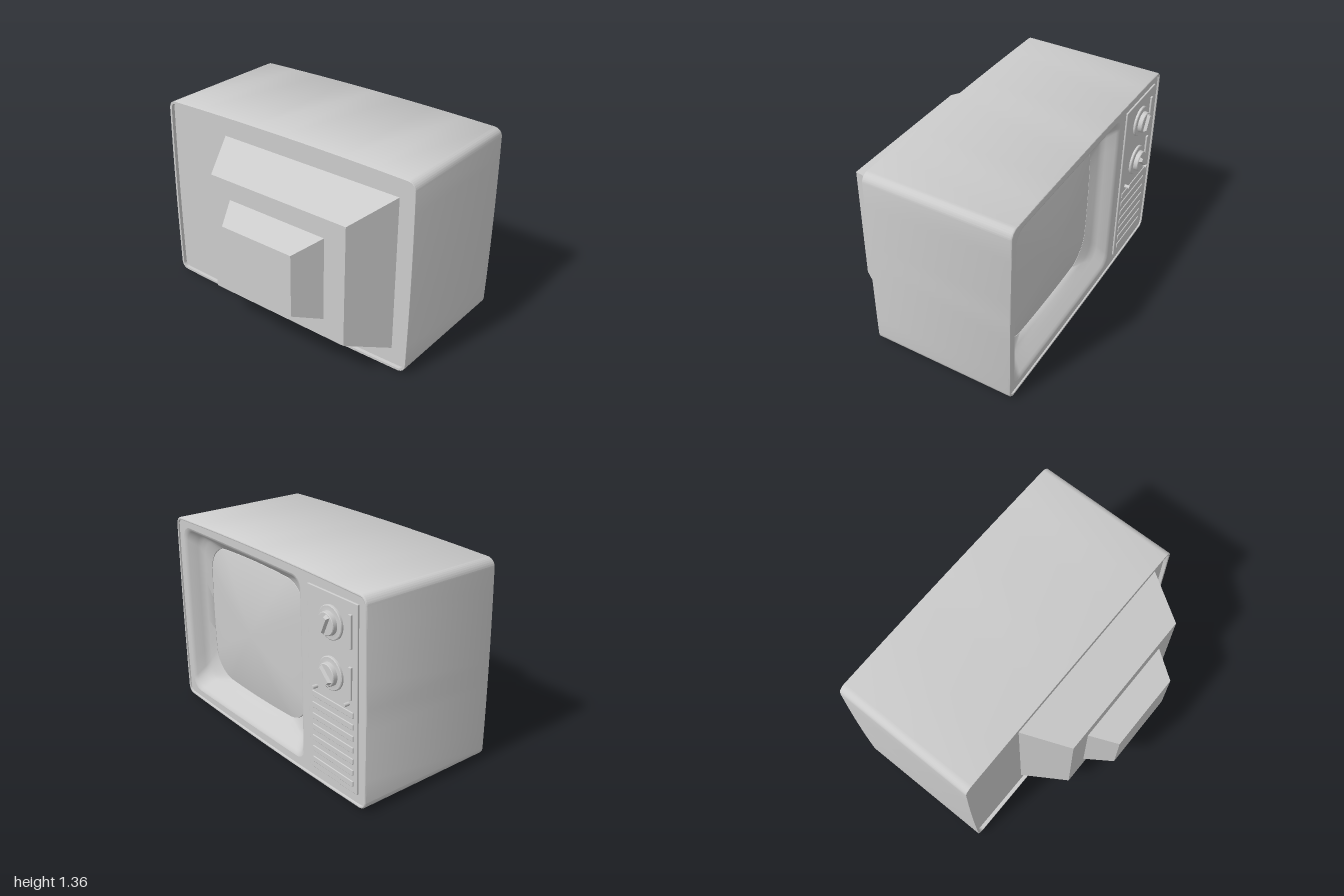
import * as THREE from 'three';
import { toCreasedNormals } from 'three/addons/utils/BufferGeometryUtils.js';
import { RoundedBoxGeometry } from 'three/addons/geometries/RoundedBoxGeometry.js';

const material = new THREE.MeshStandardMaterial({ color: 0xcccccc, roughness: 0.7 });

// Rounded rectangle loop whose edges bow outwards, counter-clockwise, at depth z
function ring(cx, cy, hw, hh, r, bowX, bowY, z) {
  const pts = [], arc = 7, edge = 8;
  const corners = [[1, -1], [1, 1], [-1, 1], [-1, -1]];
  corners.forEach(([sx, sy], k) => {
    const start = -Math.PI / 2 + k * Math.PI / 2;
    for (let i = 0; i <= arc; i++) {
      const a = start + (i / arc) * Math.PI / 2;
      pts.push([sx * (hw - r) + r * Math.cos(a), sy * (hh - r) + r * Math.sin(a)]);
    }
    const [nx, ny] = corners[(k + 1) % 4];
    const p = pts[pts.length - 1];
    const end = start + Math.PI / 2;
    const q = [nx * (hw - r) + r * Math.cos(end), ny * (hh - r) + r * Math.sin(end)];
    for (let i = 1; i < edge; i++) {
      const t = i / edge;
      pts.push([p[0] + (q[0] - p[0]) * t, p[1] + (q[1] - p[1]) * t]);
    }
  });
  return pts.map(([x, y]) => new THREE.Vector3(
    cx + x * (1 - bowX * (y / hh) ** 2), cy + y * (1 - bowY * (x / hw) ** 2), z));
}

const rect = (x0, x1, y0, y1, z) =>
  [[x0, y0], [x1, y0], [x1, y1], [x0, y1]].map(([x, y]) => new THREE.Vector3(x, y, z));

// Shrinks a loop towards its middle, optionally at a new depth
function shrink(loop, s, z = loop[0].z) {
  const c = new THREE.Box3().setFromPoints(loop).getCenter(new THREE.Vector3());
  return loop.map((p) => new THREE.Vector3(c.x + (p.x - c.x) * s, c.y + (p.y - c.y) * s, z));
}

// Skins a list of loops that have equal point counts
function loft(loops, crease = 0.6) {
  const n = loops[0].length, pos = [], idx = [];
  loops.forEach((l) => l.forEach((p) => pos.push(p.x, p.y, p.z)));
  for (let k = 0; k < loops.length - 1; k++) {
    for (let i = 0; i < n; i++) {
      const a = k * n + i, b = k * n + (i + 1) % n;
      idx.push(a, b, b + n, a, b + n, a + n);
    }
  }
  const g = new THREE.BufferGeometry();
  g.setAttribute('position', new THREE.Float32BufferAttribute(pos, 3));
  g.setIndex(idx);
  return toCreasedNormals(g, crease);
}

export function createModel() {
  const model = new THREE.Group();
  model.name = 'television';
  // Parts are laid out with the screen towards +z, then turned to face +x
  const set = new THREE.Group();
  set.name = 'set';
  set.rotation.y = Math.PI / 2;
  model.add(set);

  const add = (name, geometry, x = 0, y = 0, z = 0, parent = set) => {
    const mesh = new THREE.Mesh(geometry, material);
    mesh.name = name;
    mesh.position.set(x, y, z);
    parent.add(mesh);
    return mesh;
  };

  // Cabinet shell with recessed back panel and a thin raised front rim
  const shell = (inset, z) =>
    ring(0, 0.68, 1 - inset, 0.68 - inset, 0.055 - inset, 0.008, 0.022, z);
  add('cabinet', loft([
    shrink(shell(0.018, -0.275), 0.001), shell(0.018, -0.275), shell(0.018, -0.3),
    shell(0.002, -0.3), shell(0, -0.297), shell(0, 0.682), shell(0.004, 0.688),
    shell(0.009, 0.69), shell(0.016, 0.688), shell(0.018, 0.678),
  ]));

  // Front face with the opening for the screen
  const opening = (inset, z) =>
    ring(-0.265, 0.68, 0.665 - inset, 0.61 - inset, 0.08, 0.005, 0.005, z);
  const to2D = (loop) => loop.map((p) => new THREE.Vector2(p.x, p.y));
  const face = new THREE.Shape(to2D(shell(0.018, 0)));
  face.holes.push(new THREE.Path(to2D(opening(0, 0))));
  add('frontFace', new THREE.ShapeGeometry(face), 0, 0, 0.678);

  // Recess stepping back to the picture tube
  const tube = (inset, z) =>
    ring(-0.27, 0.688, 0.54 - inset, 0.493 - inset, 0.17, 0.04, 0.04, z);
  add('screenSurround', loft([
    opening(0, 0.678), opening(0.012, 0.674), opening(0.024, 0.662),
    ring(-0.265, 0.69, 0.61, 0.545, 0.09, 0.005, 0.005, 0.61),
    ring(-0.265, 0.692, 0.597, 0.528, 0.1, 0.008, 0.008, 0.588),
    ring(-0.266, 0.691, 0.58, 0.517, 0.12, 0.02, 0.02, 0.575),
    tube(0, 0.547), tube(0.002, 0.53),
  ], 0.8));

  // Bulging glass
  const glass = [tube(0, 0.535)];
  for (let i = 0; i <= 10; i++) {
    const s = Math.max(0.001, Math.cos((i / 10) * Math.PI / 2));
    glass.push(shrink(tube(0.004, 0), s, 0.547 + 0.055 * (1 - s * s)));
  }
  add('screen', loft(glass, 0.8));

  // Two stepped housings at the back
  const housing = (name, back, base) => add(name, loft([shrink(back, 0.001), back, base], 0.3));
  housing('rearHousing', rect(-0.72, 0.34, 0.265, 1.095, -0.58), rect(-0.875, 0.495, 0.147, 1.213, -0.28));
  housing('tubeCap', rect(-0.46, 0.085, 0.465, 0.89, -0.76), rect(-0.565, 0.185, 0.395, 0.965, -0.58));

  // Control panel
  const panel = new THREE.Group();
  panel.name = 'controlPanel';
  set.add(panel);
  add('panelPlate', new RoundedBoxGeometry(0.445, 1.19, 0.024, 2, 0.004), 0.697, 0.685, 0.677, panel);

  // Knobs: stepped dial with a tapered grip bar
  const profile = [[0, 0], [0.104, 0], [0.104, 0.012], [0.099, 0.016], [0.084, 0.016],
    [0.072, 0.018], [0.07, 0.043], [0.066, 0.047], [0, 0.047]];
  const dial = toCreasedNormals(new THREE.LatheGeometry(
    profile.map(([r, h]) => new THREE.Vector2(r, h)), 36).rotateX(Math.PI / 2), 0.5);
  const gripBack = rect(-0.062, 0.062, -0.018, 0.018, 0.045);
  const gripFront = rect(-0.05, 0.05, -0.011, 0.011, 0.067);
  const grip = loft([gripBack, gripFront, shrink(gripFront, 0.001)], 0.3);
  [[1.11, 1.13], [0.797, -0.75]].forEach(([y, angle], i) => {
    const knob = new THREE.Group();
    knob.name = i ? 'lowerKnob' : 'upperKnob';
    knob.position.set(0.695, y, 0.689);
    knob.rotation.z = angle;
    panel.add(knob);
    add('dial', dial, 0, 0, 0, knob);
    add('grip', grip, 0, 0, 0, knob);
    // Indicator strip beside each knob
    add('indicatorStrip', new RoundedBoxGeometry(0.024, 0.205, 0.022, 2, 0.004), 0.863, y - 0.003, 0.69, panel);
  });

  // Small push pins
  const pin = new THREE.CylinderGeometry(0.012, 0.012, 0.04, 16).rotateX(Math.PI / 2);
  for (const x of [0.553, 0.842]) add('pin', pin, x, 0.66, 0.705, panel);

  // Speaker grille
  const slat = new RoundedBoxGeometry(0.376, 0.038, 0.02, 2, 0.004);
  for (let i = 0; i < 7; i++) add('grilleSlat', slat, 0.698, 0.6 - i * 0.075, 0.685, panel);

  return model;
}
